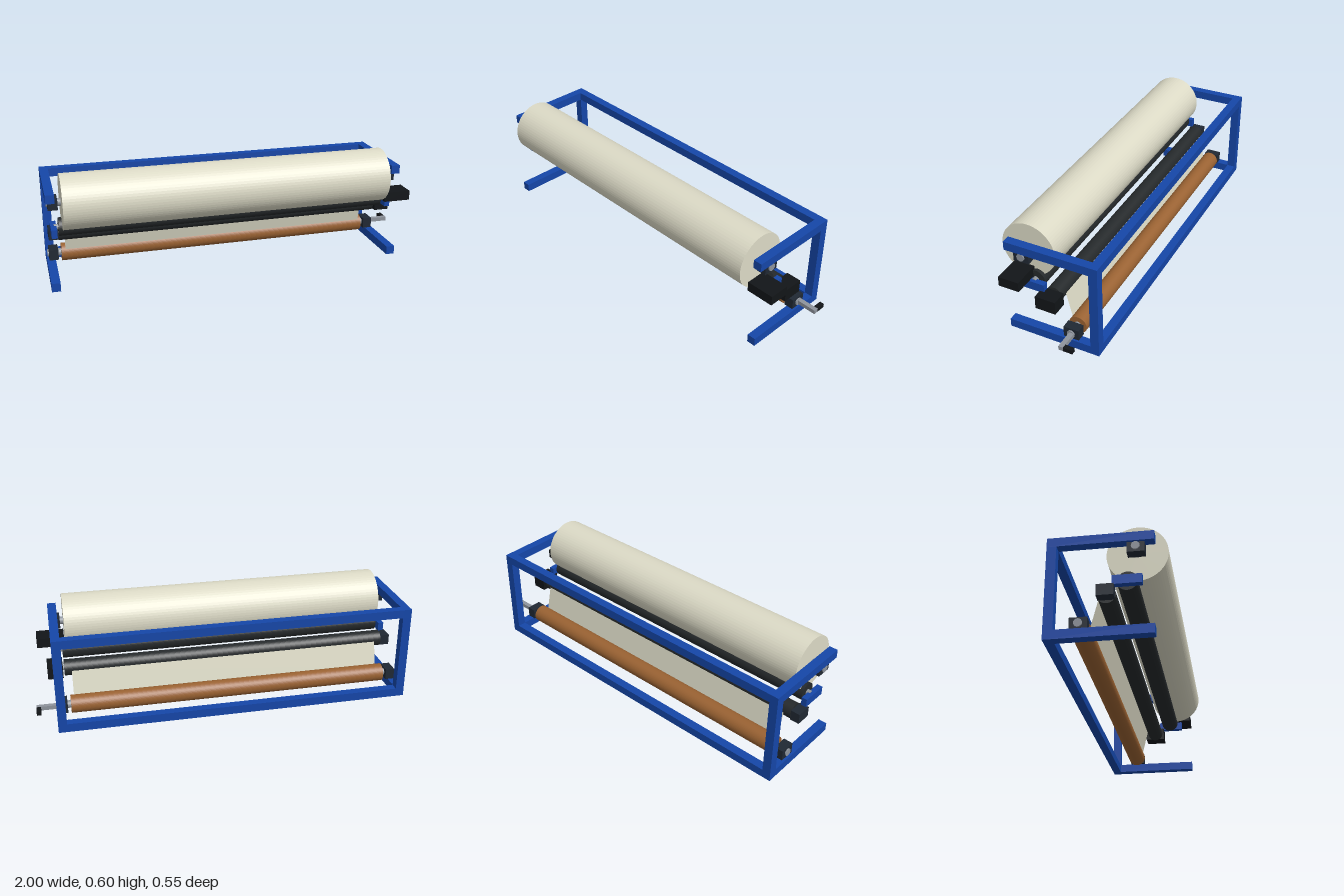
import * as THREE from 'three';

const CX = -0.05; // middle of the frame; the crank takes up the rest of the width

const mat = (color, extra = {}) => {
  const m = new THREE.MeshStandardMaterial({ color, ...extra });
  return m;
};

export function createModel() {
  const model = new THREE.Group();
  model.name = 'rollRewinder';

  const blue = mat(0x1546a8);
  const paper = mat(0xdcdac6, { flatShading: true });
  const web = mat(0xdcdac6, { side: THREE.DoubleSide });
  const kraft = mat(0x9a6232, { flatShading: true });
  const rubber = mat(0x25292b, { flatShading: true });
  const bearing = mat(0x202833);
  const black = mat(0x121518);
  const steel = mat(0x8e949c);

  // Box given by its extents on each axis
  const box = (name, m, x0, x1, y0, y1, z0, z1) => {
    const mesh = new THREE.Mesh(new THREE.BoxGeometry(x1 - x0, y1 - y0, z1 - z0), m);
    mesh.position.set((x0 + x1) / 2, (y0 + y1) / 2, (z0 + z1) / 2);
    mesh.name = name;
    model.add(mesh);
  };

  // Cylinder lying along x, centred on the frame
  const roll = (name, m, radius, half, y, z, sides = 48) => {
    const geo = new THREE.CylinderGeometry(radius, radius, half * 2, sides).rotateZ(Math.PI / 2);
    const mesh = new THREE.Mesh(geo, m);
    mesh.position.set(CX, y, z);
    mesh.name = name;
    model.add(mesh);
  };

  // Frame: two C-shaped sides joined by two rails at the back
  const T = 0.046, L = -1, R = 0.897, TOP = 0.52, BACK = -0.275, FRONT = 0.22;
  for (const [side, x] of [['right', L], ['left', R - T]]) {
    box(side + 'Post', blue, x, x + T, T, TOP - T, BACK, BACK + T);
    box(side + 'TopArm', blue, x, x + T, TOP - T, TOP, BACK, FRONT);
    box(side + 'BottomArm', blue, x, x + T, 0, T, BACK, FRONT);
  }
  box('topRail', blue, L + T, R - T, TOP - T, TOP, BACK, BACK + T);
  box('bottomRail', blue, L + T, R - T, 0, T, BACK, BACK + T);

  // Rolls and rollers
  roll('paperRoll', paper, 0.144, 0.87, 0.452, 0.133, 64);
  roll('paperRollShaft', steel, 0.02, 0.945, 0.452, 0.133, 24);
  roll('coreRoll', kraft, 0.048, 0.87, 0.077, -0.12);
  roll('coreRollShaft', steel, 0.02, 0.945, 0.077, -0.12, 24);
  roll('upperRoller', rubber, 0.048, 0.888, 0.303, 0.089);
  roll('upperRollerShaft', steel, 0.015, 0.91, 0.303, 0.089, 24);
  roll('lowerRoller', rubber, 0.0435, 0.888, 0.238, -0.005);
  roll('lowerRollerShaft', steel, 0.015, 0.91, 0.238, -0.005, 24);

  // Bearing blocks and swing arms, mirrored about the frame's middle
  for (const s of [-1, 1]) {
    const x = CX + s * 0.913;
    for (const [y, z] of [[0.452, 0.133], [0.077, -0.12]]) {
      box('bearingBlock', bearing, x - 0.025, x + 0.025, y - 0.029, y + 0.029, z - 0.041, z + 0.041);
    }
    box('swingArm', blue, x - 0.015, x + 0.015, 0.267, 0.313, 0.024, 0.162);
  }
  box('lowerRollerBearing', bearing, -0.988, -0.938, 0.21, 0.267, -0.045, 0.035);

  // Drives on the left end
  box('upperMotor', black, 0.823, 0.97, 0.313, 0.365, 0.104, 0.214);
  box('lowerMotor', black, 0.845, 0.926, 0.204, 0.274, -0.0625, 0.047);

  // Hand crank on the core shaft
  box('crankRod', steel, 0.88, 1, 0.066, 0.088, -0.139, -0.114);
  box('crankHandle', black, 0.976, 1, 0.066, 0.088, -0.189, -0.139);

  // Thin web running from the lower roller to the core roll
  const [y0, z0, y1, z1] = [0.235, -0.049, 0.095, -0.083];
  const sheet = new THREE.Mesh(new THREE.PlaneGeometry(1.7, Math.hypot(y0 - y1, z0 - z1)), web);
  sheet.position.set(CX, (y0 + y1) / 2, (z0 + z1) / 2);
  sheet.rotation.x = Math.atan2(z0 - z1, y0 - y1);
  sheet.name = 'paperWeb';
  model.add(sheet);

  return model;
}
